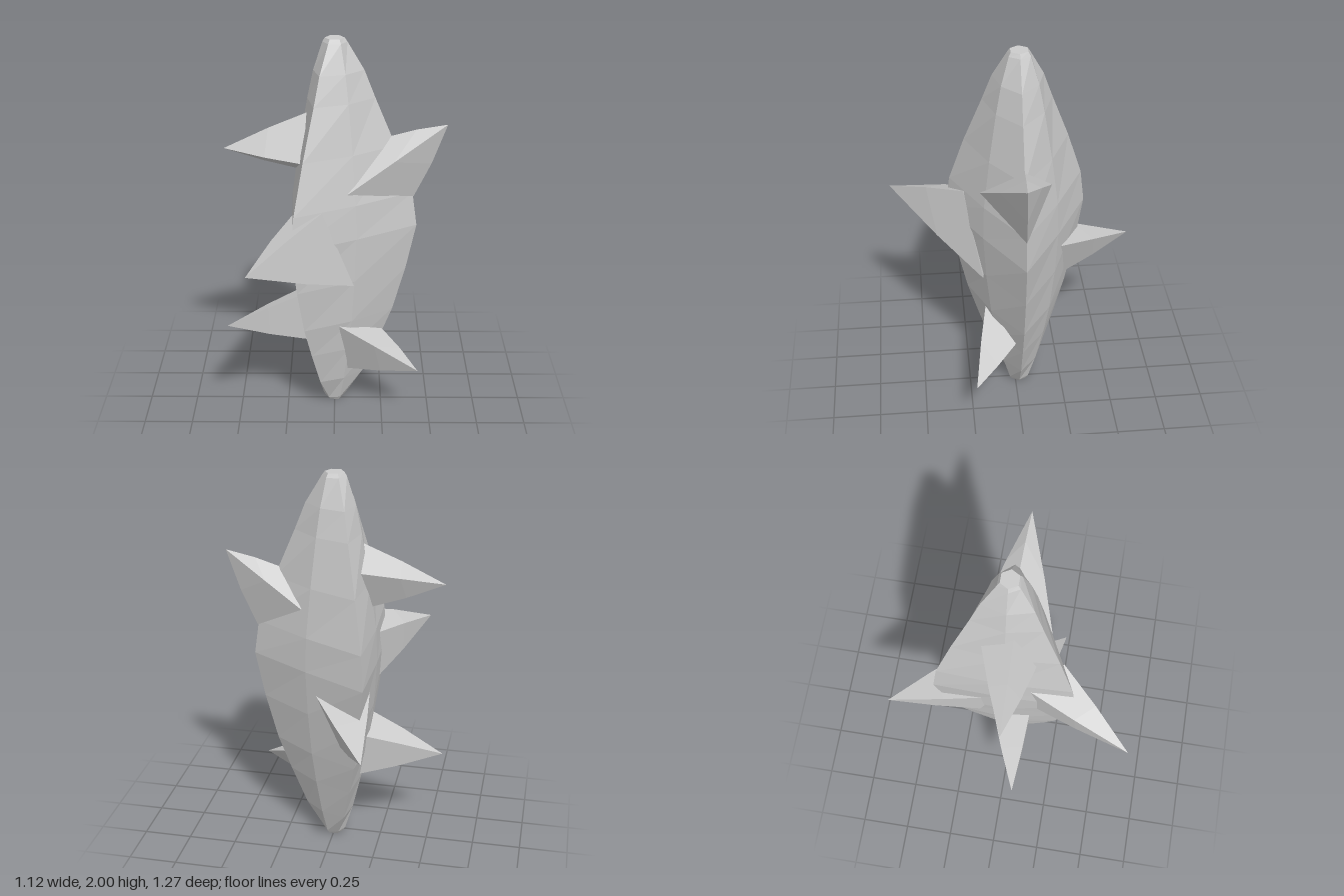
import * as THREE from 'three';

const material = new THREE.MeshStandardMaterial({ color: 0xcccccc, flatShading: true });

// Skins a stack of equal-sized rings (arrays of Vector3), closing both ends with fans.
function loft(name, rings) {
  const pos = [];
  const n = rings[0].length;
  const tri = (...pts) => pts.forEach((p) => pos.push(p.x, p.y, p.z));
  for (let j = 0; j < rings.length - 1; j++) {
    for (let i = 0; i < n; i++) {
      const k = (i + 1) % n;
      tri(rings[j][i], rings[j + 1][i], rings[j][k]);
      tri(rings[j][k], rings[j + 1][i], rings[j + 1][k]);
    }
  }
  const first = rings[0], last = rings[rings.length - 1];
  for (let i = 1; i < n - 1; i++) {
    tri(first[0], first[i], first[i + 1]);
    tri(last[0], last[i + 1], last[i]);
  }
  const geometry = new THREE.BufferGeometry();
  geometry.setAttribute('position', new THREE.Float32BufferAttribute(pos, 3));
  geometry.computeVertexNormals();
  const mesh = new THREE.Mesh(geometry, material);
  mesh.name = name;
  return mesh;
}

// Three-edged spindle: height, radius at the sharp ridges, radius at the middle of each face
const BODY = [
  [0, 0.045, 0.045], [0.02, 0.06, 0.058], [0.16, 0.15, 0.1], [0.36, 0.235, 0.145],
  [0.54, 0.305, 0.178], [0.78, 0.37, 0.205], [1.02, 0.42, 0.22], [1.2, 0.395, 0.213],
  [1.45, 0.305, 0.178], [1.7, 0.2, 0.135], [1.84, 0.145, 0.105], [1.98, 0.062, 0.06],
  [2, 0.048, 0.048],
];

function buildBody() {
  const rings = BODY.map(([y, ridge, face]) =>
    Array.from({ length: 6 }, (_, i) => {
      const r = i % 2 ? face : ridge;
      const a = (i * Math.PI) / 3;
      return new THREE.Vector3(r * Math.cos(a), y, r * Math.sin(a) - 0.02);
    }));
  return loft('crystalBody', rings);
}

// Faceted spike from a base polygon on the body to a tip, slightly swollen halfway
function buildSpike(name, tipXYZ, baseXYZ) {
  const tip = new THREE.Vector3(...tipXYZ);
  const base = baseXYZ.map((p) => new THREE.Vector3(...p));
  const centre = base.reduce((s, p) => s.add(p), new THREE.Vector3()).divideScalar(base.length);
  const axis = tip.clone().sub(centre);
  const normal = new THREE.Vector3();
  base.forEach((p, i) => {
    const q = base[(i + 1) % base.length];
    normal.add(p.clone().sub(centre).cross(q.clone().sub(centre)));
  });
  if (normal.dot(axis) > 0) base.reverse();
  // t = distance along the axis, s = width
  const ring = (t, s) => base.map((p) =>
    p.clone().sub(centre).multiplyScalar(s).addScaledVector(axis, t).add(centre));
  return loft(name, [ring(-0.06, 1.06), ring(0.45, 0.6), ring(1, 0.004)]);
}

const SPIKES = [
  ['upperLeftSpike', [0.56, 1.565, -0.005],
    [[0.28, 1.5, -0.02], [0.09, 1.28, 0.17], [0.41, 1.2, -0.02], [0.16, 1.35, -0.16]]],
  ['upperRightSpike', [-0.55, 1.45, 0.02],
    [[-0.15, 1.63, 0.02], [-0.16, 1.53, -0.13], [-0.2, 1.33, -0.03], [-0.18, 1.41, 0.13]]],
  ['frontSpike', [-0.41, 1.035, 0.635],
    [[-0.08, 1.19, 0.28], [0.07, 0.78, 0.2], [-0.2, 0.87, 0.14], [-0.21, 1.13, 0.12]]],
  ['lowerRightSpike', [-0.56, 0.48, 0.075],
    [[-0.17, 0.68, 0.11], [-0.19, 0.62, -0.08], [-0.15, 0.39, -0.06], [-0.16, 0.42, 0.1]]],
  ['lowerLeftSpike', [0.43, 0.305, 0.235],
    [[0.03, 0.52, 0.16], [0.26, 0.43, 0.03], [0.09, 0.23, 0.08]]],
  ['backSpike', [-0.25, 0.765, -0.635],
    [[0.04, 0.9, -0.25], [-0.2, 0.92, -0.1], [-0.2, 0.7, -0.18], [-0.08, 0.65, -0.27]]],
];

export function createModel() {
  const model = new THREE.Group();
  model.name = 'spikedCrystal';
  model.add(buildBody());
  SPIKES.forEach((s) => model.add(buildSpike(...s)));
  return model;
}
